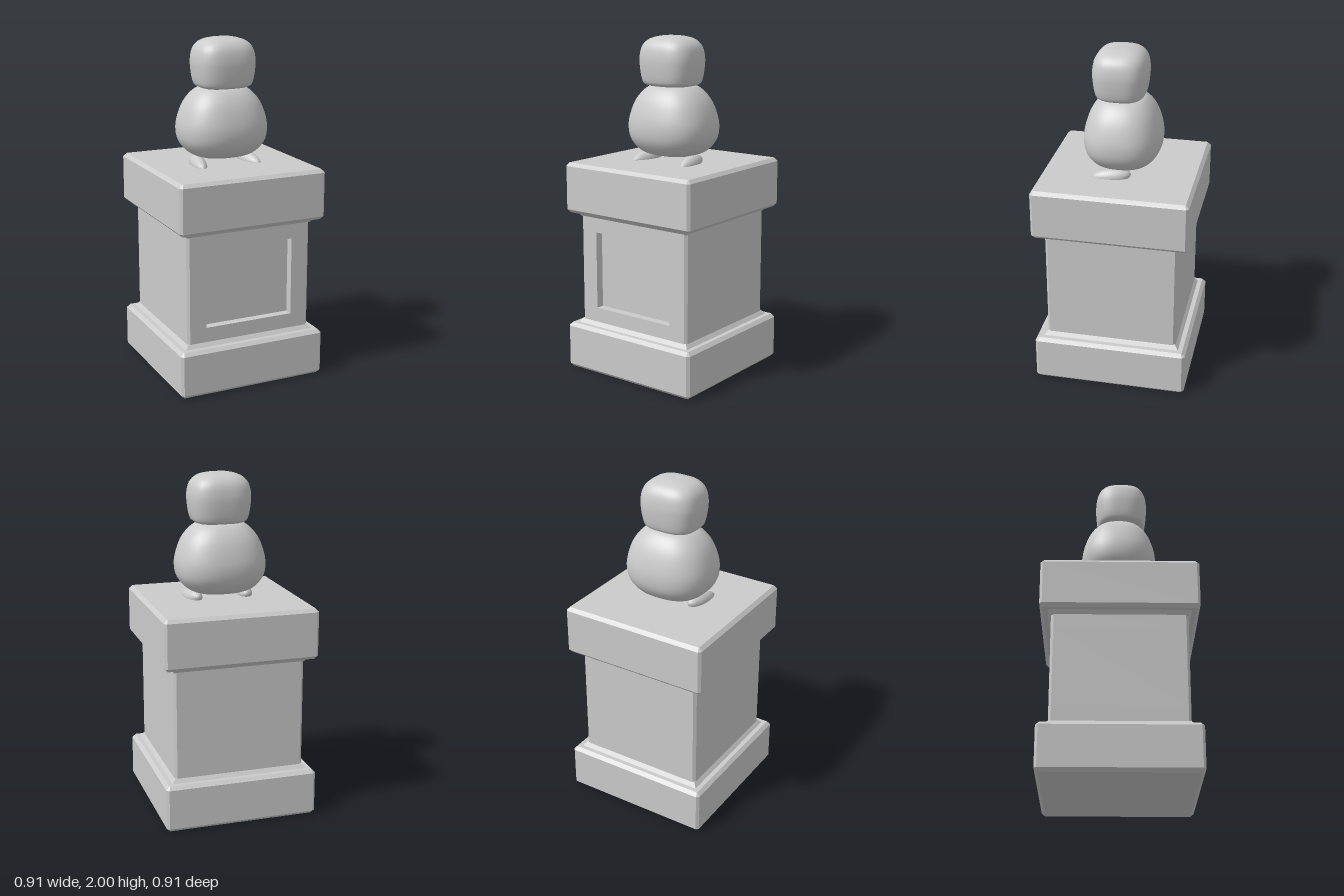
import * as THREE from 'three';
import { mergeVertices } from 'three/addons/utils/BufferGeometryUtils.js';

const material = new THREE.MeshStandardMaterial({ color: 0xcccccc });
const flatMaterial = new THREE.MeshStandardMaterial({ color: 0xcccccc, flatShading: true });

function addMesh(parent, name, geometry, mat = flatMaterial) {
  const mesh = new THREE.Mesh(geometry, mat);
  mesh.name = name;
  parent.add(mesh);
  return mesh;
}

// Square plan with cut corners and an optional notch in the front side
function squarePlan(h, cut, notch = []) {
  const points = [
    [-h + cut, -h], ...notch, [h - cut, -h], [h, -h + cut], [h, h - cut],
    [h - cut, h], [-h + cut, h], [-h, h - cut], [-h, -h + cut],
  ];
  return new THREE.Shape(points.map(([x, y]) => new THREE.Vector2(x, y)));
}

// Plan raised from y0 to y1, with top and bottom edges chamfered by bevel
function raise(plan, y0, y1, bevel = 0) {
  const geometry = new THREE.ExtrudeGeometry(plan, {
    depth: y1 - y0 - 2 * bevel, bevelEnabled: bevel > 0, bevelSegments: 1,
    bevelSize: bevel, bevelThickness: bevel, bevelOffset: -bevel,
  });
  return geometry.rotateX(-Math.PI / 2).translate(0, y0 + bevel, 0);
}

// Square frustum joining the column to a slab
function flare(y0, y1, halfBottom, halfTop) {
  return new THREE.CylinderGeometry(halfTop * Math.SQRT2, halfBottom * Math.SQRT2, y1 - y0, 4)
    .rotateY(Math.PI / 4).translate(0, (y0 + y1) / 2, 0);
}

// Smooth rounded mass: a turned profile squared off towards a superellipse plan
function roundedMass(profile, depthRatio, power, cx, cz) {
  const curve = new THREE.SplineCurve(profile.map(([r, y]) => new THREE.Vector2(r, y)));
  const points = curve.getPoints(36);
  points.forEach((p) => { p.x = Math.max(p.x, 0); });
  let geometry = new THREE.LatheGeometry(points, 40);
  const pos = geometry.attributes.position;
  for (let i = 0; i < pos.count; i++) {
    const x = pos.getX(i), z = pos.getZ(i);
    const r = Math.hypot(x, z);
    if (r > 1e-6) {
      const k = 1 / Math.pow(Math.abs(x / r) ** power + Math.abs(z / r) ** power, 1 / power);
      pos.setX(i, x * k);
      pos.setZ(i, z * k * depthRatio);
    }
  }
  geometry.deleteAttribute('uv');
  geometry.deleteAttribute('normal');
  geometry = mergeVertices(geometry, 1e-5);
  geometry.computeVertexNormals();
  return geometry.translate(cx, 0, cz);
}

// Foot: flat-bottomed drop, tallest near the heel and tapering to the toe
function footGeometry() {
  const geometry = new THREE.SphereGeometry(1, 24, 16);
  const pos = geometry.attributes.position;
  for (let i = 0; i < pos.count; i++) {
    const x = pos.getX(i), y = pos.getY(i), z = pos.getZ(i);
    pos.setXYZ(i, x * 0.045 * (1 - 0.15 * z), Math.max(y, -0.1) * 0.048, z * 0.11 - Math.max(y, 0) * 0.035);
  }
  geometry.computeVertexNormals();
  return geometry;
}

export function createModel() {
  const model = new THREE.Group();

  // Pedestal
  const pedestal = new THREE.Group();
  pedestal.name = 'pedestal';
  model.add(pedestal);
  addMesh(pedestal, 'baseSlab', raise(squarePlan(0.455, 0.015), 0, 0.28, 0.02));
  addMesh(pedestal, 'capSlab', raise(squarePlan(0.455, 0.015), 0.965, 1.265, 0.02));
  addMesh(pedestal, 'lowerFlare', flare(0.275, 0.305, 0.412, 0.388));
  addMesh(pedestal, 'upperFlare', flare(0.94, 0.97, 0.388, 0.412));

  // Column with a sunken front panel
  const h = 0.39, depth = 0.05, left = -0.273, right = 0.273;
  const notch = [[left, -h], [left, -h + depth], [right, -h + depth], [right, -h]];
  addMesh(pedestal, 'columnBottom', raise(squarePlan(h, 0.015), 0.275, 0.39));
  addMesh(pedestal, 'columnPanel', raise(squarePlan(h, 0.015, notch), 0.39, 0.855));
  addMesh(pedestal, 'columnTop', raise(squarePlan(h, 0.015), 0.855, 0.97));

  // Figure
  const figure = new THREE.Group();
  figure.name = 'figure';
  model.add(figure);
  const bodyProfile = [
    [0, 1.295], [0.1, 1.298], [0.19, 1.325], [0.25, 1.39], [0.266, 1.47],
    [0.252, 1.55], [0.218, 1.63], [0.165, 1.69], [0.11, 1.714], [0, 1.718],
  ];
  addMesh(figure, 'body', roundedMass(bodyProfile, 0.85, 2.5, 0.003, -0.002), material);
  const headProfile = [
    [0, 1.706], [0.1, 1.708], [0.15, 1.719], [0.168, 1.75], [0.179, 1.82],
    [0.18, 1.88], [0.165, 1.94], [0.125, 1.98], [0.06, 1.998], [0, 2],
  ];
  addMesh(figure, 'head', roundedMass(headProfile, 0.87, 3, 0.004, 0.014), material);

  // Feet, turned slightly outwards
  for (const side of [-1, 1]) {
    const foot = addMesh(figure, side > 0 ? 'leftFoot' : 'rightFoot', footGeometry(), material);
    foot.position.set(side * 0.163, 1.267, 0.045);
    foot.rotation.y = side * 0.15;
  }
  return model;
}
